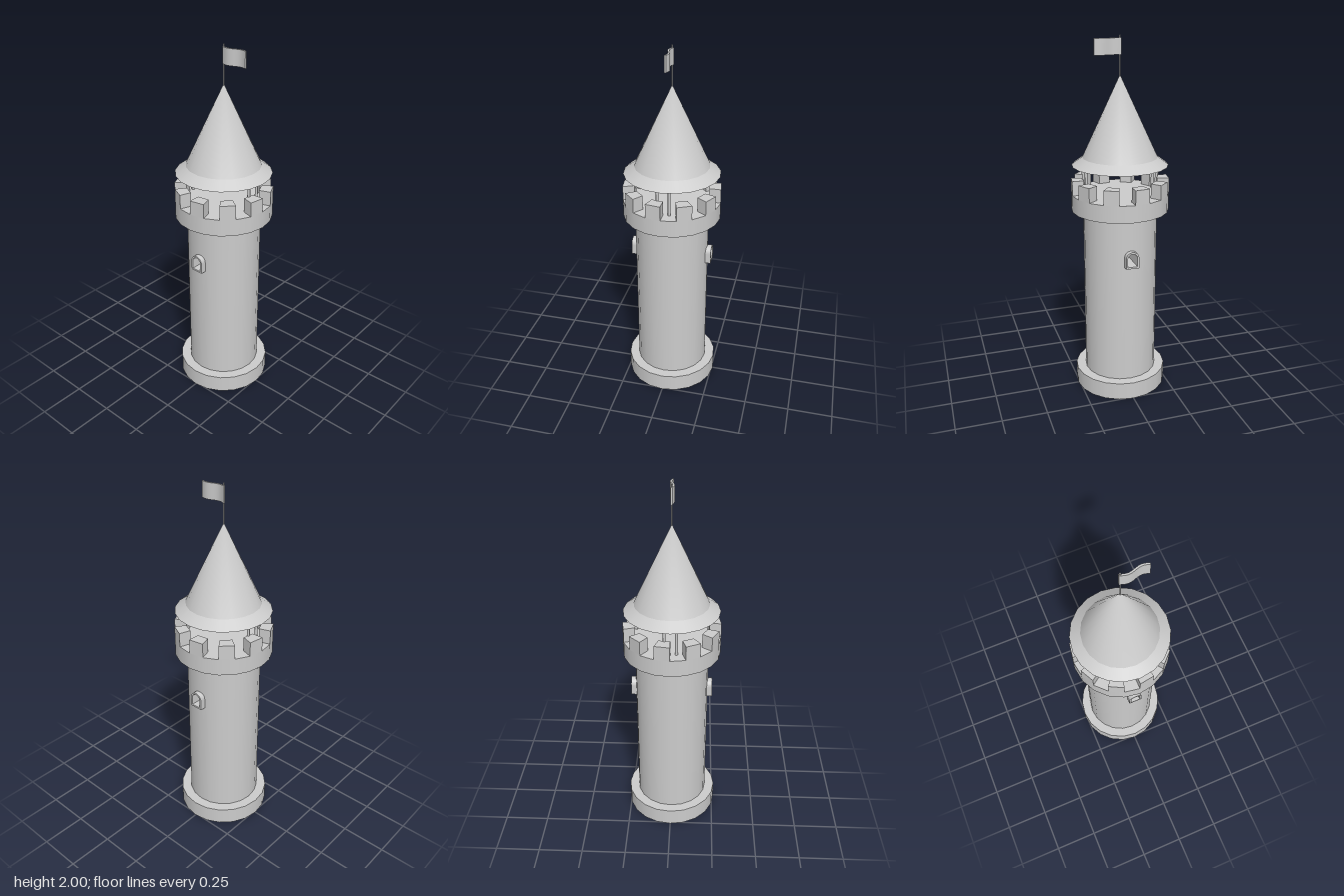
import * as THREE from 'three';

const SIDES = 20;
const STEP = (Math.PI * 2) / SIDES;
const BODY_R = 0.205, BODY_Y0 = 0.1, BODY_Y1 = 1.065;
const SILL = 0.8, SPRING = 0.848, HALF_W = 0.027;

export function createModel() {
  const model = new THREE.Group();
  const stone = new THREE.MeshStandardMaterial({ color: 0xcccccc });
  const thin = new THREE.MeshStandardMaterial({ color: 0xcccccc, side: THREE.DoubleSide });

  const add = (name, geometry, parent = model, material = stone) => {
    const mesh = new THREE.Mesh(geometry, material);
    mesh.name = name;
    parent.add(mesh);
    return mesh;
  };
  const drum = (name, radius, y0, y1, sides = SIDES, x = 0, z = 0, parent = model) =>
    add(name, new THREE.CylinderGeometry(radius, radius, y1 - y0, sides)
      .translate(x, (y0 + y1) / 2, z), parent);
  const points = (list) => list.map(([x, y]) => new THREE.Vector2(x, y));

  // Foot and crown rings
  drum('base', 0.26, 0, BODY_Y0);
  drum('crownRing', 0.27, BODY_Y1, 1.16);

  // Tower wall: two curved sides, with bent panels front and back around the windows
  const body = new THREE.Group();
  body.name = 'towerBody';
  model.add(body);
  const wallProfile = points([[BODY_R, BODY_Y0], [BODY_R, BODY_Y1]]);
  for (const start of [STEP, Math.PI + STEP]) {
    add('sideWall', new THREE.LatheGeometry(wallProfile, SIDES / 2 - 2, start, Math.PI - 2 * STEP), body, thin);
  }
  const edge = BODY_R * Math.sin(STEP);
  const slope = Math.tan(STEP / 2);
  for (const front of [1, -1]) {
    for (const side of [1, -1]) {
      const outline = [[0, BODY_Y0], [edge, BODY_Y0], [edge, BODY_Y1], [0, BODY_Y1]];
      for (let i = 0; i <= 6; i++) {
        const a = (i / 6) * Math.PI / 2;
        outline.push([HALF_W * Math.sin(a), SPRING + HALF_W * Math.cos(a)]);
      }
      outline.push([HALF_W, SILL], [0, SILL]);
      const panel = new THREE.ShapeGeometry(new THREE.Shape(points(outline.map(([x, y]) => [x * side, y]))));
      const p = panel.attributes.position, n = panel.attributes.normal;
      for (let i = 0; i < p.count; i++) {
        const x = p.getX(i), z = BODY_R - Math.abs(x) * slope;
        p.setZ(i, z);
        n.setXYZ(i, x / Math.hypot(x, z), 0, z / Math.hypot(x, z));
      }
      if (front < 0) panel.rotateY(Math.PI);
      add('windowWall', panel, body, thin);
    }
  }

  // Arched window surround, running right through the tower
  const arch = (half, sill, Type) => {
    const s = new Type();
    s.moveTo(-half, sill);
    s.lineTo(half, sill);
    s.lineTo(half, SPRING);
    s.absarc(0, SPRING, half, 0, Math.PI, false);
    s.lineTo(-half, sill);
    return s;
  };
  const surround = arch(0.037, 0.79, THREE.Shape);
  surround.holes.push(arch(HALF_W, SILL, THREE.Path));
  add('windowSurround', new THREE.ExtrudeGeometry(surround, { depth: 0.46, bevelEnabled: false, curveSegments: 12 })
    .translate(0, 0, -0.23));

  // Battlements: every second side of the crown carries a merlon
  const battlements = new THREE.Group();
  battlements.name = 'battlements';
  model.add(battlements);
  const inner = 0.205, outer = 0.27;
  const corner = (r, a) => [r * Math.sin(a), -r * Math.cos(a)];
  const merlon = new THREE.ExtrudeGeometry(
    new THREE.Shape(points([corner(inner, 0), corner(outer, 0), corner(outer, STEP), corner(inner, STEP)])),
    { depth: 0.08, bevelEnabled: false }
  ).rotateX(-Math.PI / 2).translate(0, 1.16, 0);
  for (let i = 0; i < SIDES / 2; i++) {
    add('merlon', merlon, battlements).rotation.y = i * 2 * STEP;
  }

  // Posts holding up the roof
  const posts = new THREE.Group();
  posts.name = 'roofPosts';
  model.add(posts);
  for (const x of [-0.2, 0.2]) {
    for (const z of [-0.032, 0.032]) drum('roofPost', 0.008, 1.16, 1.33, 8, x, z, posts);
  }

  // Roof: tall cone, flared eaves and a flat underside
  const roof = new THREE.Group();
  roof.name = 'roof';
  model.add(roof);
  const cone = new THREE.LatheGeometry(points([[0.205, 1.36], [0, 1.8]]), SIDES);
  const cp = cone.attributes.position;
  for (let i = 0; i < cp.count; i++) {
    if (cp.getY(i) > 1.7) cone.attributes.normal.setXYZ(i, 0, 1, 0);
  }
  add('roofCone', cone, roof, thin);
  add('eaves', new THREE.LatheGeometry(points([[0.264, 1.317], [0.205, 1.36]]), SIDES), roof, thin);
  add('roofUnderside', new THREE.CircleGeometry(0.264, SIDES).rotateX(Math.PI / 2).translate(0, 1.317, 0), roof);

  // Flagpole and waving flag
  drum('flagpole', 0.004, 1.78, 2, 8);
  const flag = new THREE.BoxGeometry(0.148, 0.085, 0.01, 20, 1, 1).translate(0.067, 1.943, 0);
  const fp = flag.attributes.position;
  for (let i = 0; i < fp.count; i++) {
    fp.setZ(i, fp.getZ(i) + 0.008 * Math.sin((fp.getX(i) / 0.14) * Math.PI * 2));
  }
  flag.computeVertexNormals();
  add('flag', flag);

  return model;
}
